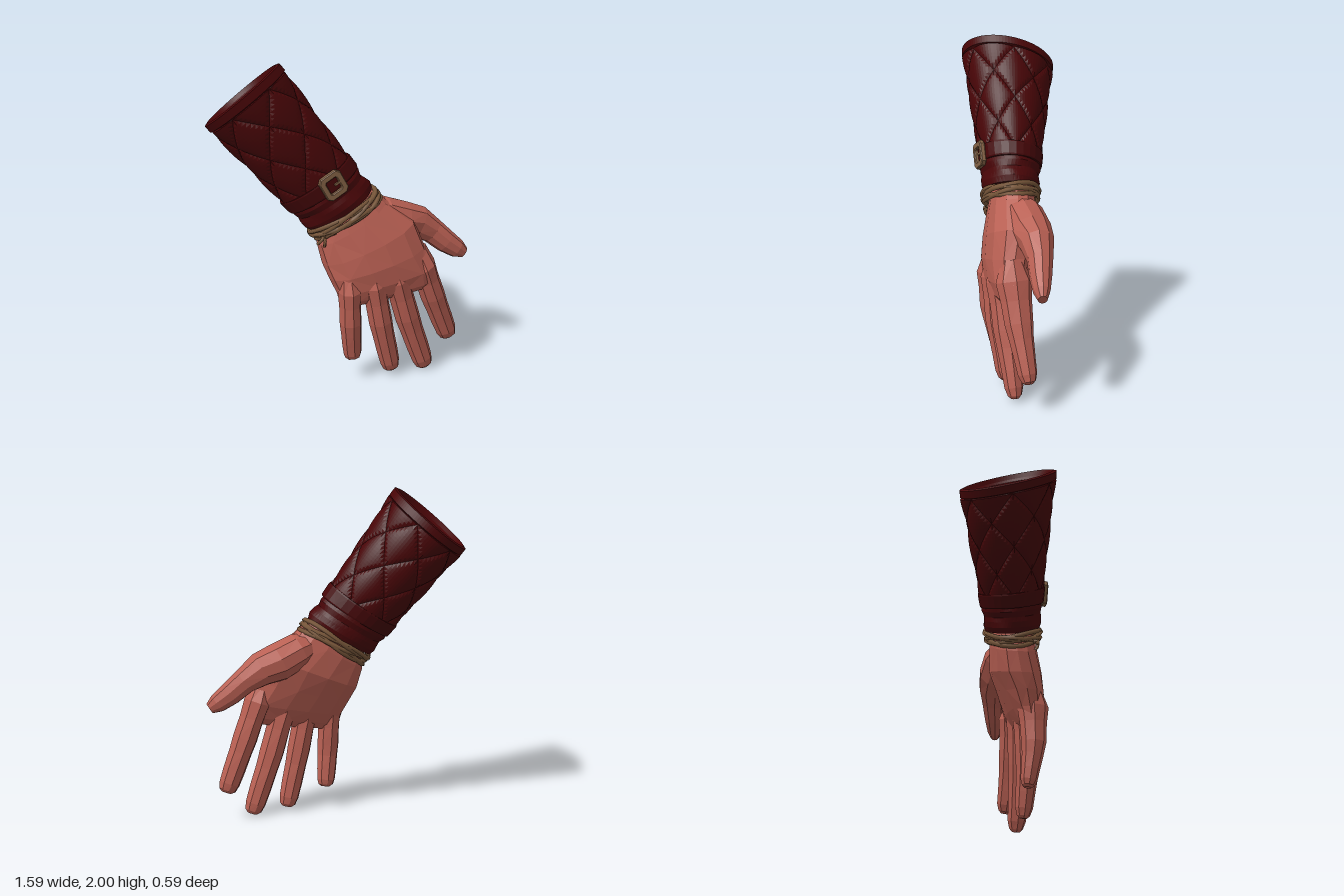
import * as THREE from 'three';

const V3 = (x, y, z) => new THREE.Vector3(x, y, z);
const paint = (name, color) => {
  const m = new THREE.MeshStandardMaterial({ color });
  m.name = name;
  return m;
};

// Faceted skin over a list of rings, with diagonals alternating like a diamond lattice
function loft(rings, capped = true) {
  const n = rings[0].length, pos = [], idx = [];
  rings.forEach(r => r.forEach(p => pos.push(p.x, p.y, p.z)));
  for (let i = 0; i < rings.length - 1; i++) {
    for (let j = 0; j < n; j++) {
      const k = (j + 1) % n, a = i * n + j, b = i * n + k, c = a + n, d = b + n;
      idx.push(...((i + j) % 2 ? [a, b, c, b, d, c] : [a, b, d, a, d, c]));
    }
  }
  const cap = (i, flip) => {
    const c = V3(0, 0, 0), at = pos.length / 3;
    rings[i].forEach(p => c.addScaledVector(p, 1 / n));
    pos.push(c.x, c.y, c.z);
    for (let j = 0; j < n; j++) {
      const a = i * n + j, b = i * n + (j + 1) % n;
      idx.push(...(flip ? [b, a, at] : [a, b, at]));
    }
  };
  if (capped) {
    cap(0, true);
    cap(rings.length - 1, false);
  }
  const g = new THREE.BufferGeometry();
  g.setAttribute('position', new THREE.Float32BufferAttribute(pos, 3));
  g.setIndex(idx);
  const flat = g.toNonIndexed();
  flat.computeVertexNormals();
  return flat;
}

// Ring of n points around c with half axes U and V
function ring(c, U, V, n, scale = () => 1) {
  return Array.from({ length: n }, (_, j) => {
    const a = (j / n) * Math.PI * 2, s = scale(a);
    return c.clone().addScaledVector(U, Math.cos(a) * s).addScaledVector(V, Math.sin(a) * s);
  });
}

// Forearm frame: t = 0 at the open end, t = 1 at the wrist
function armFrame(t) {
  const mix = (a, b) => a.clone().lerp(b, t);
  return [
    mix(V3(-0.575, 1.82, -0.018), V3(-0.03, 1.115, 0.073)),
    mix(V3(0.218, 0.168, 0), V3(0.2, 0.12, 0)),
    mix(V3(-0.035, 0.07, 0.283), V3(-0.01, 0.015, 0.168)),
  ];
}
const armRing = (t, s, n = 96) => ring(...armFrame(t), n, typeof s === 'function' ? s : () => s);
const armPoint = (t, a, s) => {
  const [c, U, V] = armFrame(t);
  return c.addScaledVector(U, Math.cos(a) * s).addScaledVector(V, Math.sin(a) * s);
};

// Finger: rows of [x, y, z, half width, half depth]
function finger(rows, sides = 8) {
  const pts = rows.map(r => V3(r[0], r[1], r[2]));
  return loft(rows.map((r, i) => {
    const d = pts[Math.min(i + 1, rows.length - 1)].clone().sub(pts[Math.max(i - 1, 0)]).normalize();
    const U = V3(-d.y, d.x, 0).normalize();
    const W = d.clone().cross(U).normalize();
    return ring(pts[i], U.multiplyScalar(r[3]), W.multiplyScalar(r[4]), sides);
  }));
}

export function createModel() {
  const skin = paint('skin', 0xb96053);
  const cloth = paint('dark red cloth', 0x480507);
  const strapRed = paint('strap red', 0x440507);
  const twine = paint('twine', 0x7a583b);
  const brass = paint('dull brass', 0x836245);

  const model = new THREE.Group();
  model.name = 'gloveArm';
  const add = (name, geo, mat, parent = model) => {
    const m = new THREE.Mesh(geo, mat);
    m.name = name;
    parent.add(m);
    return m;
  };

  // Quilted sleeve: recessed end, rolled rim, padded diamonds, plain cuff
  const rings = [armRing(0.045, 0.8), armRing(0.03, 0.86), armRing(0.0, 0.92),
    armRing(0.008, 1.0), armRing(0.06, 1.01), armRing(0.066, 0.96)];
  const rows = 30, step = Math.PI / 16;
  for (let i = 0; i <= rows; i++) {
    const f = i / rows;
    const puff = a => Math.abs(Math.sin(3 * a + i * step) * Math.sin(3 * a - i * step));
    rings.push(armRing(0.07 + f * 0.66, a => 0.95 - 0.03 * f + 0.07 * Math.pow(puff(a), 0.4)));
  }
  for (const [t, s] of [[0.83, 0.94], [0.86, 0.97], [0.9, 0.93], [0.93, 0.97], [0.97, 1.0], [1.01, 0.96]]) {
    rings.push(armRing(t, a => s + 0.015 * Math.sin(5 * a + t * 40)));
  }
  add('sleeve', loft(rings), cloth);

  // Strap wrapped above the wrist
  const strap = [[0.735, 0.9], [0.735, 1.0], [0.745, 1.015], [0.825, 1.015], [0.835, 1.0], [0.835, 0.9]];
  add('strap', loft(strap.map(([t, s]) => armRing(t, s, 28)), false), strapRed);

  // Buckle: square frame with a prong
  const buckle = new THREE.Group();
  buckle.name = 'buckle';
  const frame = new THREE.Shape(), hole = new THREE.Path();
  const octagon = (path, w, h, c) => path.setFromPoints([
    [w - c, -h], [w, c - h], [w, h - c], [w - c, h], [c - w, h], [-w, h - c], [-w, c - h], [c - w, -h],
  ].map(p => new THREE.Vector2(...p)));
  octagon(frame, 0.068, 0.072, 0.02);
  octagon(hole, 0.042, 0.046, 0.01);
  frame.holes.push(hole);
  add('buckleFrame', new THREE.ExtrudeGeometry(frame, {
    depth: 0.02, bevelEnabled: true, bevelSize: 0.005, bevelThickness: 0.006, bevelSegments: 1,
  }), brass, buckle);
  add('buckleProng', new THREE.BoxGeometry(0.05, 0.012, 0.012), brass, buckle).position.set(0.03, 0, 0.02);
  buckle.position.set(-0.11, 1.32, 0.235);
  buckle.rotation.set(-0.06, 0.15, 0.5);
  model.add(buckle);

  // Twine wound around the wrist
  const cords = new THREE.Group();
  cords.name = 'wristTwine';
  for (let k = 0; k < 5; k++) {
    const pts = Array.from({ length: 20 }, (_, j) => {
      const a = (j / 20) * Math.PI * 2;
      return armPoint(1.025 + 0.014 * k + 0.018 * Math.sin(2 * a + k * 1.9), a, 0.99 + 0.02 * Math.sin(3 * a + k * 2.3));
    });
    add('twineLoop', new THREE.TubeGeometry(new THREE.CatmullRomCurve3(pts, true), 48, 0.015, 5, true), twine, cords);
  }
  for (const [dx, dy] of [[-0.04, -0.04], [0.0, -0.06], [0.07, 0.02]]) {
    const p = V3(-0.15, 0.98, 0.17);
    const end = p.clone().add(V3(dx, dy, 0.02));
    const mid = p.clone().lerp(end, 0.5).add(V3(0, 0.01, 0.03));
    add('twineEnd', new THREE.TubeGeometry(new THREE.CatmullRomCurve3([p, mid, end]), 6, 0.01, 5), twine, cords);
  }
  model.add(cords);

  // Palm: rows of left edge, right edge, middle z, half depth
  const hand = new THREE.Group();
  hand.name = 'hand';
  const palm = [
    [-0.17, 1.02, 0.17, 1.22, 0.07, 0.125],
    [-0.17, 0.9, 0.25, 1.14, 0.085, 0.14],
    [-0.145, 0.78, 0.42, 1.01, 0.11, 0.155],
    [-0.11, 0.69, 0.48, 0.85, 0.148, 0.135],
    [-0.07, 0.6, 0.55, 0.72, 0.17, 0.105],
    [-0.055, 0.54, 0.565, 0.63, 0.18, 0.072],
    [-0.03, 0.5, 0.53, 0.58, 0.18, 0.03],
  ];
  add('palm', loft(palm.map(([lx, ly, rx, ry, z, h]) => ring(
    V3((lx + rx) / 2, (ly + ry) / 2, z), V3((rx - lx) / 2, (ry - ly) / 2, 0), V3(0, 0, h), 14,
    a => 1 + 0.06 * Math.pow(Math.sin(2 * a), 2)))), skin, hand);

  // Fingers: knuckle, middle joint and tip positions, with half width
  const fingers = {
    littleFinger: [[0.0, 0.66, 0.195], [0.01, 0.38, 0.2], [0.035, 0.135, 0.165], 0.067],
    ringFinger: [[0.145, 0.69, 0.19], [0.205, 0.36, 0.195], [0.285, 0.025, 0.17], 0.072],
    middleFinger: [[0.285, 0.71, 0.18], [0.385, 0.36, 0.175], [0.51, 0.005, 0.155], 0.076],
    indexFinger: [[0.455, 0.76, 0.155], [0.56, 0.47, 0.14], [0.68, 0.17, 0.108], 0.076],
  };
  for (const [name, [a, b, c, w]] of Object.entries(fingers)) {
    const A = V3(...a), B = V3(...b), C = V3(...c);
    const row = (p, q, f, s, d = s) => [...p.clone().lerp(q, f).toArray(), w * s, w * d];
    add(name, finger([
      row(A, B, -0.25, 0.8, 0.8), row(A, B, 0.15, 1.08, 1.4), row(A, B, 0.5, 1.0, 1.2), row(A, B, 0.92, 1.02, 1.1),
      row(B, C, 0.2, 0.95, 0.95), row(B, C, 0.55, 0.92, 0.82), row(B, C, 0.82, 0.85, 0.74),
      row(B, C, 0.95, 0.7, 0.55), row(B, C, 1, 0.42, 0.3),
    ]), skin, hand);
  }

  // Thumb with its fleshy base and the web towards the index finger
  add('thumb', finger([
    [0.12, 1.08, 0.07, 0.06, 0.08], [0.24, 1.035, 0.055, 0.11, 0.125], [0.37, 0.975, 0.035, 0.118, 0.125],
    [0.48, 0.94, 0.02, 0.105, 0.1], [0.575, 0.875, 0.025, 0.08, 0.075], [0.66, 0.8, 0.04, 0.073, 0.064],
    [0.735, 0.745, 0.05, 0.06, 0.048], [0.78, 0.715, 0.055, 0.035, 0.027],
  ], 10), skin, hand);
  model.add(hand);
  return model;
}
